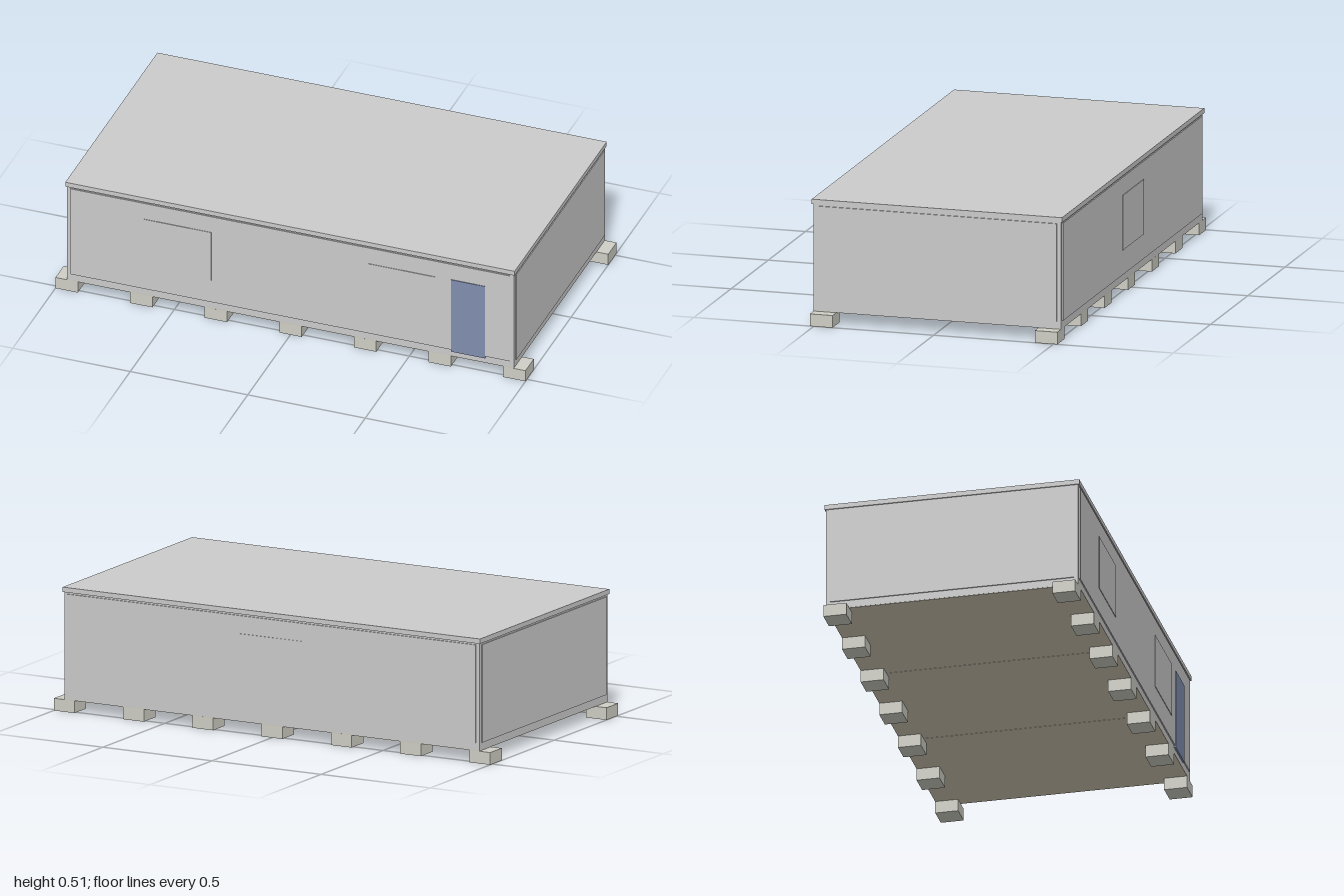
import * as THREE from 'three';

export function createModel() {
  const model = new THREE.Group();
  const mat = (color) => new THREE.MeshStandardMaterial({ color, flatShading: true });
  const grey = mat(0xcccccc);
  const concrete = mat(0xcfcfc6);
  const timber = mat(0xcfc8b4);
  const blue = mat(0x808eb0);

  // Box given by its lower and upper limits on each axis
  function box(name, [x0, x1], [y0, y1], [z0, z1], material, parent = model) {
    const mesh = new THREE.Mesh(new THREE.BoxGeometry(x1 - x0, y1 - y0, z1 - z0), material);
    mesh.position.set((x0 + x1) / 2, (y0 + y1) / 2, (z0 + z1) / 2);
    mesh.name = name;
    parent.add(mesh);
    return mesh;
  }

  // Main body and slightly overhanging roof
  box('cabinBody', [-0.951, 0.951], [0.052, 0.49], [-0.516, 0.516], grey);
  box('roof', [-0.956, 0.956], [0.49, 0.51], [-0.522, 0.522], grey);

  // Floor underside in three modules
  const floor = new THREE.Group();
  floor.name = 'floor';
  model.add(floor);
  for (let i = -1; i <= 1; i++) {
    const c = i * 0.634;
    box('floorModule', [c - 0.316, c + 0.316], [0.05, 0.0525], [-0.516, 0.516], timber, floor);
  }

  // Raised wall panels, leaving the corner posts and edge rails visible
  for (const s of [-1, 1]) {
    const side = box('endPanel', [-0.003, 0.003], [0.083, 0.483], [-0.5, 0.5], grey);
    side.position.x = s * 0.953;
    const long = box('longPanel', [-0.935, 0.935], [0.083, 0.483], [-0.003, 0.003], grey);
    long.position.z = s * 0.518;
  }

  // Windows: two on the front, one on the back
  box('frontWindowRight', [-0.62, -0.335], [0.185, 0.41], [0.518, 0.5235], grey);
  box('frontWindowLeft', [0.335, 0.62], [0.185, 0.41], [0.518, 0.5235], grey);
  box('backWindow', [-0.143, 0.143], [0.185, 0.41], [-0.5235, -0.518], grey);

  // Entrance door
  box('door', [0.685, 0.83], [0.075, 0.412], [0.515, 0.5235], blue);

  // Foundation blocks in two rows of seven
  const blocks = new THREE.Group();
  blocks.name = 'foundationBlocks';
  model.add(blocks);
  for (let i = -3; i <= 3; i++) {
    for (const s of [-1, 1]) {
      const x = i * 0.3175;
      const block = box('foundationBlock', [x - 0.0475, x + 0.0475], [0, 0.05], [-0.047, 0.047], concrete, blocks);
      block.position.z = s * 0.469;
    }
  }

  return model;
}
